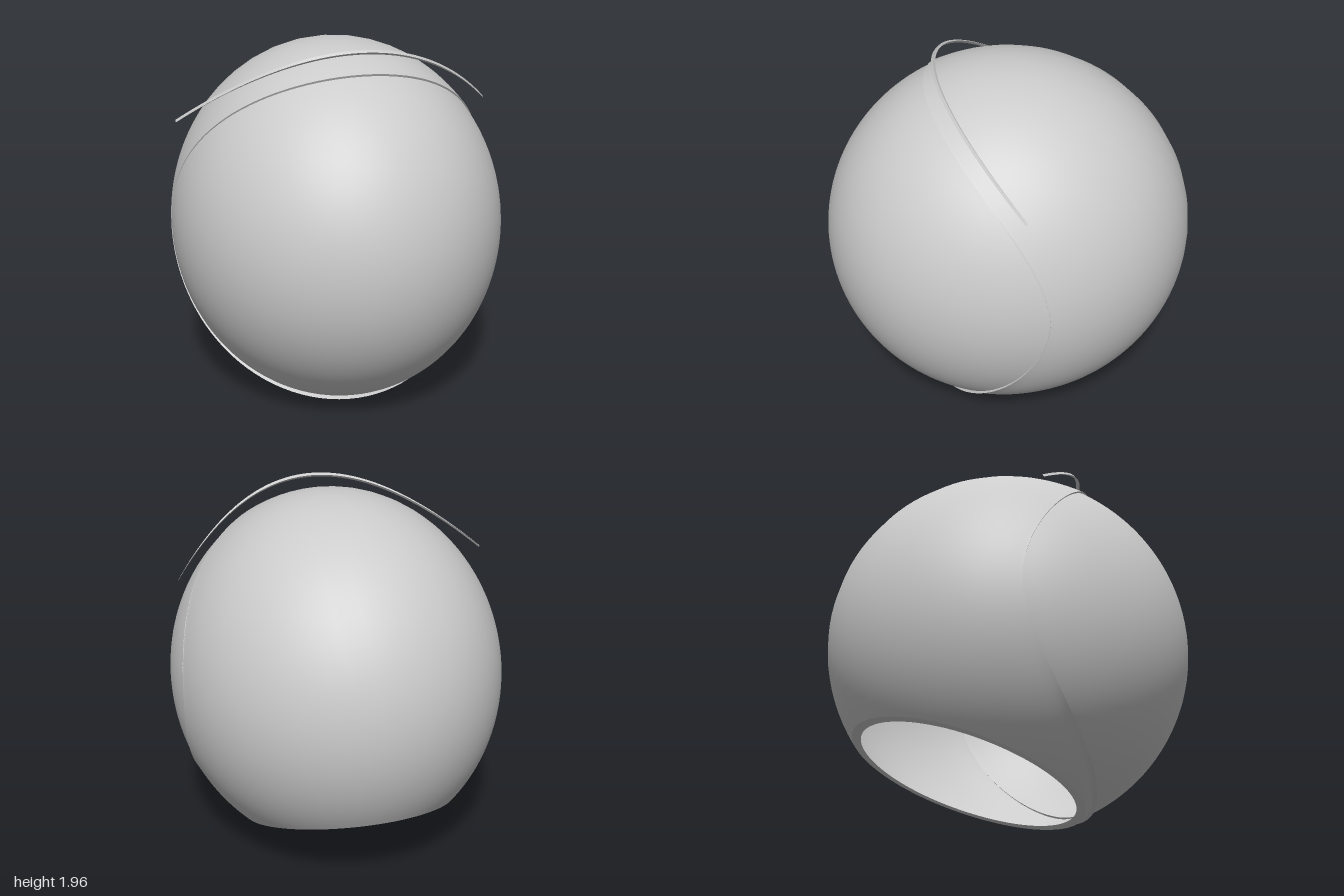
import * as THREE from 'three';
import { toCreasedNormals } from 'three/addons/utils/BufferGeometryUtils.js';

const SEG = 120, CENTRE_Y = 0.94, WIDTH = 0.905;
const V = (x, y, z) => new THREE.Vector3(x, y, z);
const material = new THREE.MeshStandardMaterial({ color: 0xcccccc, side: THREE.DoubleSide });

// Face opening: a loop on the unit sphere that sweeps back at the sides
function openingLoop(u) {
  const y = 0.9 * Math.sin(u);
  const z = -0.13 + 0.682 * Math.pow(Math.abs(y), 1.77);
  const x = Math.sqrt(Math.max(0, 1 - y * y - z * z)) * Math.sign(Math.cos(u));
  return V(x, y, z).normalize();
}

// Neck opening: a tilted flat cut, slightly longer towards the chin
function neckLoop(u, inset) {
  const front = Math.max(0, -Math.sin(u)) ** 2;
  const rad = 0.636 + 0.031 * front - inset;
  return V(0, -0.952, -0.307).multiplyScalar(0.772)
    .addScaledVector(V(1, 0, 0), rad * Math.cos(u))
    .addScaledVector(V(0, 0.307, -0.952), rad * Math.sin(u));
}

// Great-circle blend between two directions
function slerp(a, b, t) {
  const w = a.angleTo(b);
  if (w < 1e-5) return a.clone();
  return a.clone().multiplyScalar(Math.sin((1 - t) * w) / Math.sin(w))
    .addScaledVector(b, Math.sin(t * w) / Math.sin(w));
}

// Closed wall with an outer and an inner skin; point(u, t, inner) gives the surface
function wall(name, rows, point) {
  const pos = [], index = [], n = 2 * (rows + 1);
  for (let i = 0; i < SEG; i++) {
    const u = (i / SEG) * Math.PI * 2;
    for (let k = 0; k < n; k++) {
      const inner = k > rows;
      const p = point(u, (inner ? n - 1 - k : k) / rows, inner);
      pos.push(p.x * WIDTH, p.y + CENTRE_Y, p.z);
    }
  }
  for (let i = 0; i < SEG; i++) {
    const i2 = (i + 1) % SEG;
    for (let k = 0; k < n; k++) {
      const k2 = (k + 1) % n;
      const a = i * n + k, b = i2 * n + k, c = i2 * n + k2, d = i * n + k2;
      index.push(a, b, c, a, c, d);
    }
  }
  const geo = new THREE.BufferGeometry();
  geo.setAttribute('position', new THREE.Float32BufferAttribute(pos, 3));
  geo.setIndex(index);
  const mesh = new THREE.Mesh(toCreasedNormals(geo, 0.6), material);
  mesh.name = name;
  return mesh;
}

export function createModel() {
  const group = new THREE.Group();
  group.name = 'helmet';

  // Shell from the neck cut to the face opening, with a raised lip at brow and chin
  group.add(wall('shell', 48, (u, t, inner) => {
    const a = neckLoop(u, inner ? 0.05 : 0), ra = a.length();
    const s = Math.sin(u);
    const rb = (1.002 + (s > 0 ? 0.01 : 0.018) * s * s) * (inner ? 0.969 : 1);
    const base = inner ? 0.969 : 1;
    const r = base + (ra - base) * (1 - t) + (rb - base) * t ** 5;
    return slerp(a.normalize(), openingLoop(u), t).multiplyScalar(r);
  }));

  // Domed visor filling the face opening
  group.add(wall('visor', 28, (u, t, inner) =>
    slerp(openingLoop(u), V(0, 0, 1), t).multiplyScalar(inner ? 0.975 : 0.999)));

  // Thin tapered brow strip, a crescent leaning forward over the crown
  const arc = new THREE.Shape();
  arc.moveTo(0.87, 0);
  arc.quadraticCurveTo(0, 1.132, -0.87, 0);
  arc.quadraticCurveTo(0, 1.1, 0.87, 0);
  const strip = new THREE.Mesh(toCreasedNormals(new THREE.ExtrudeGeometry(arc,
    { depth: 0.016, bevelEnabled: false, curveSegments: 48 }), 0.6), material);
  strip.name = 'browStrip';
  strip.rotation.x = Math.PI / 4;
  strip.position.set(0, 1.563, -0.015);
  group.add(strip);

  return group;
}
